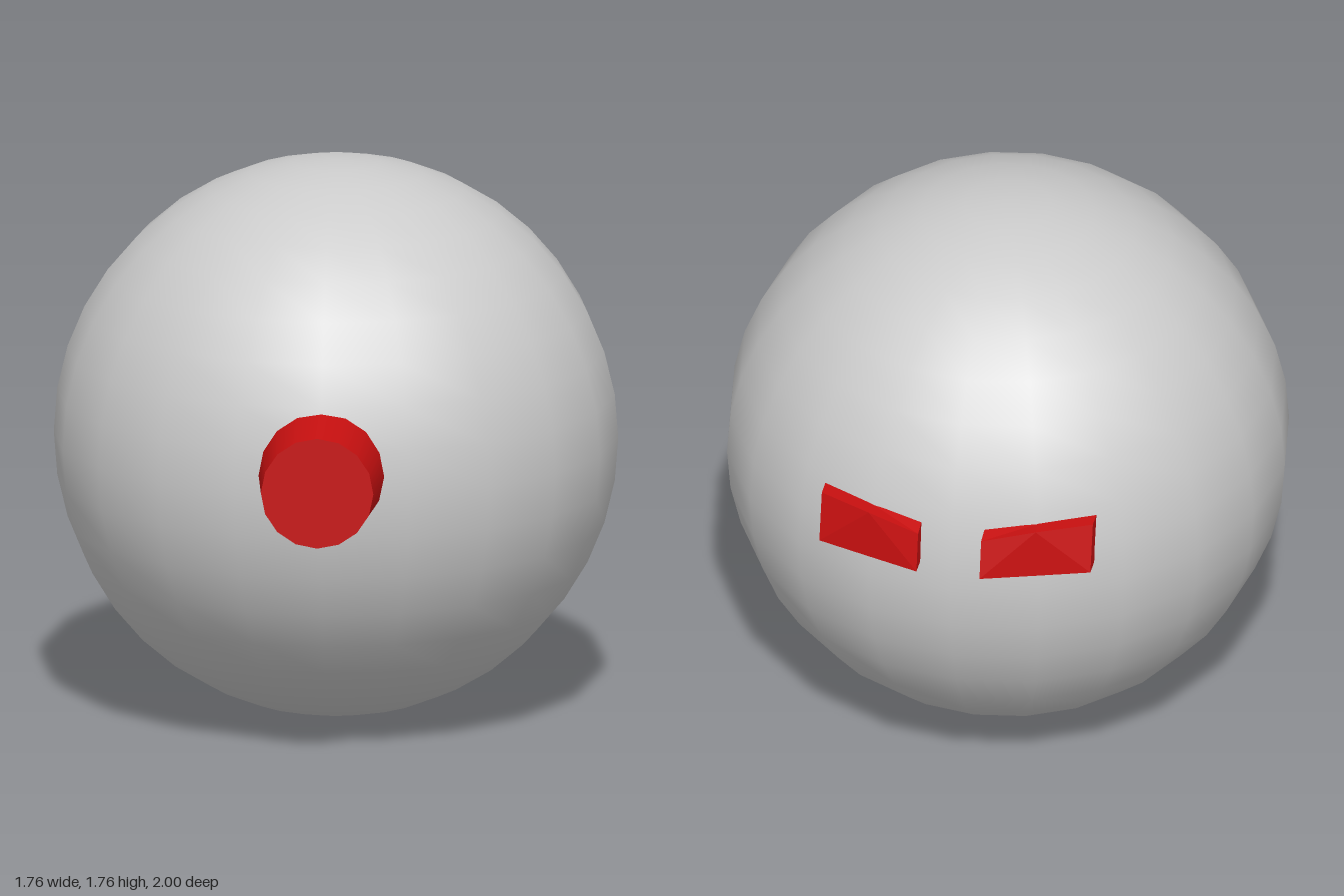
import * as THREE from 'three';

const grey = new THREE.MeshStandardMaterial({ color: 0xcccccc });
const red = new THREE.MeshStandardMaterial({ color: 0xc81010 });

function addMesh(group, name, geometry, material) {
  const mesh = new THREE.Mesh(geometry, material);
  mesh.name = name;
  group.add(mesh);
  return mesh;
}

// Bent bar lofted through three cross-sections; side = 1 or -1 mirrors it in x
function eyeGeometry(side) {
  // each station: x, then [y, z] of outer bottom, outer top, inner top, inner bottom
  const stations = [
    [0.10, [[0.965, -1.0], [1.09, -0.975], [1.1, -0.925], [0.965, -0.94]]],
    [0.265, [[0.965, -0.948], [1.12, -0.935], [1.12, -0.885], [0.965, -0.91]]],
    [0.43, [[0.965, -0.895], [1.12, -0.857], [1.12, -0.803], [0.965, -0.837]]],
  ].map(([x, ring]) => ring.map(([y, z]) => [x * side, y, z]));

  const positions = [];
  const tri = (a, b, c) => positions.push(...(side > 0 ? [a, b, c] : [a, c, b]).flat());

  for (let i = 0; i < 2; i++) {
    for (let k = 0; k < 4; k++) {
      const n = (k + 1) % 4;
      const a = stations[i][k], b = stations[i + 1][k];
      const c = stations[i + 1][n], d = stations[i][n];
      // diagonals fan out from the middle of the upper edge
      if (i === 0) { tri(a, d, c); tri(a, c, b); }
      else { tri(a, d, b); tri(d, c, b); }
    }
  }
  // end caps
  const [s, , e] = stations;
  tri(s[0], s[2], s[1]); tri(s[0], s[3], s[2]);
  tri(e[0], e[1], e[2]); tri(e[0], e[2], e[3]);

  const geometry = new THREE.BufferGeometry();
  geometry.setAttribute('position', new THREE.Float32BufferAttribute(positions, 3));
  geometry.computeVertexNormals(); // unshared corners give flat faces
  return geometry;
}

export function createModel() {
  const group = new THREE.Group();
  group.name = 'ballWithSpout';

  // Ball body
  const body = addMesh(group, 'body', new THREE.SphereGeometry(0.878, 20, 20), grey);
  body.position.set(0, 0.88, -0.087);

  // Tapered spout at the front, sunk into the body
  const spout = addMesh(group, 'spout', new THREE.CylinderGeometry(0.175, 0.2, 0.3, 16), red);
  spout.rotation.x = Math.PI / 2;
  spout.position.set(0, 0.94, 0.85);

  // Pair of bent bars at the back
  addMesh(group, 'leftBackBar', eyeGeometry(1), red);
  addMesh(group, 'rightBackBar', eyeGeometry(-1), red);

  return group;
}
